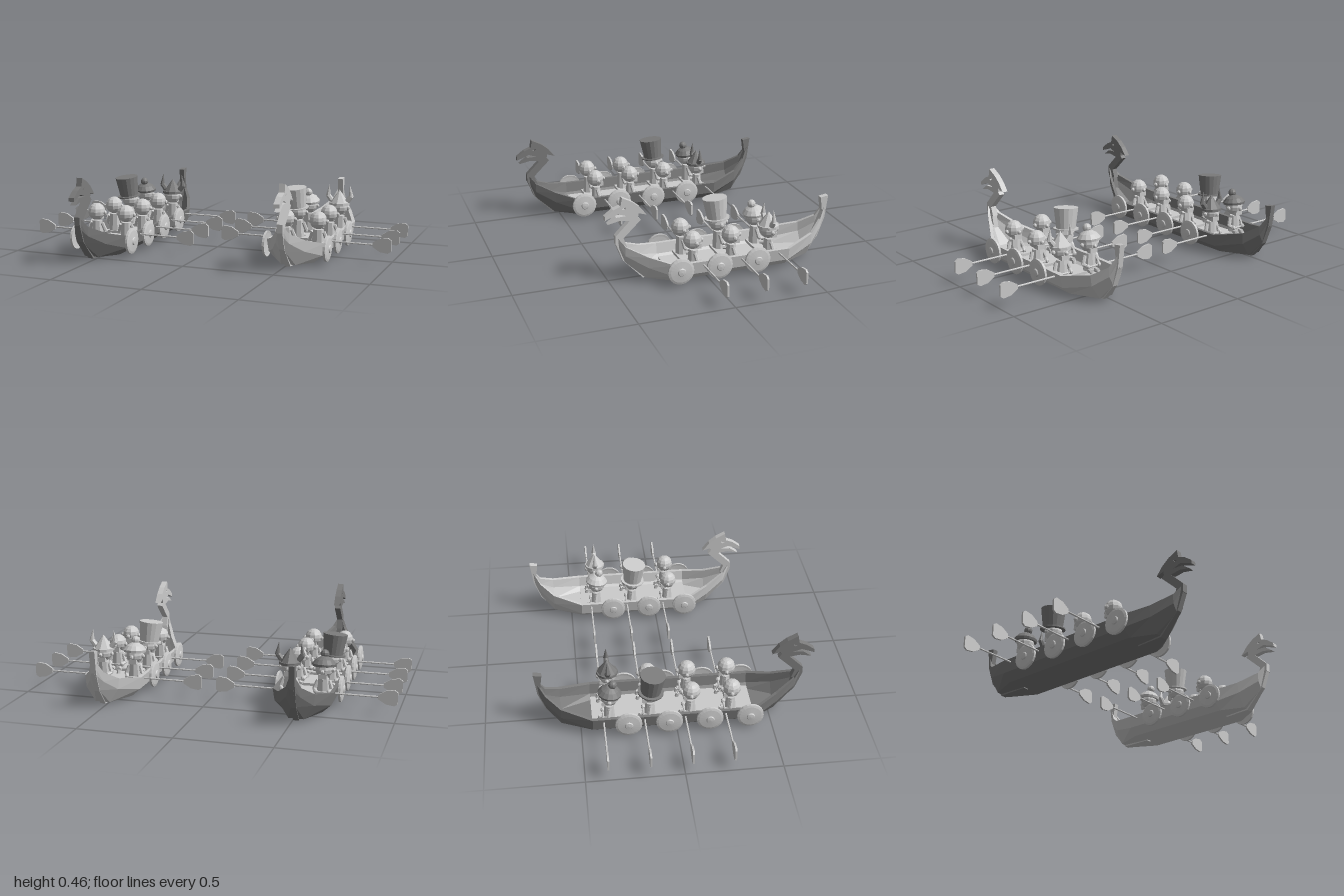
import * as THREE from 'three';

const paint = (color) => new THREE.MeshStandardMaterial({ color, flatShading: true, side: THREE.DoubleSide });
const grey = paint(0xcccccc);
const dark = paint(0x7c7c7c);

function add(parent, name, geo, mat = grey, x = 0, y = 0, z = 0) {
  const m = new THREE.Mesh(geo, mat);
  m.name = name;
  m.position.set(x, y, z);
  parent.add(m);
  return m;
}

// Rod between two points
function rod(parent, name, a, b, r0, r1 = r0, mat = grey) {
  const p = new THREE.Vector3(...a), q = new THREE.Vector3(...b), d = q.clone().sub(p);
  const m = add(parent, name, new THREE.CylinderGeometry(r1, r0, d.length(), 7), mat);
  m.position.copy(p).add(q).multiplyScalar(0.5);
  m.quaternion.setFromUnitVectors(new THREE.Vector3(0, 1, 0), d.normalize());
  return m;
}

// Plate cut from a side profile given as (z, y) points
function plate(points, width, hole) {
  const s = new THREE.Shape(points.map((p) => new THREE.Vector2(...p)));
  if (hole) s.holes.push(new THREE.Path(hole.map((p) => new THREE.Vector2(...p))));
  const g = new THREE.ExtrudeGeometry(s, { depth: width, bevelEnabled: false });
  return g.translate(0, 0, -width / 2).rotateY(-Math.PI / 2);
}

// Hull shell lofted from stations [z, half width, rail y, chine y, keel y, keel half width]
function hullGeometry(stations) {
  const pos = [], idx = [];
  for (const [z, w, rail, chine, keel, k] of stations) {
    const t = Math.min(0.02, w * 0.4), cw = w * 0.93;
    const floor = Math.min(keel + 0.03, rail - 0.01), f = Math.max(0.002, k - 0.005);
    const half = [[w, rail], [w - t, rail], [cw - t, chine + 0.012], [f, floor]];
    const under = [[w, rail], [cw, chine], [k, keel]];
    const loop = [...half, ...half.slice(1).reverse().map(([x, y]) => [-x, y]),
      ...under.map(([x, y]) => [-x, y]), ...under.slice(1).reverse()];
    for (const [x, y] of loop) pos.push(x, y, z);
  }
  const n = pos.length / 3 / stations.length;
  for (let j = 0; j < stations.length - 1; j++) for (let i = 0; i < n; i++) {
    const a = j * n + i, b = j * n + (i + 1) % n;
    idx.push(a, b, a + n, b, b + n, a + n);
  }
  const g = new THREE.BufferGeometry();
  g.setAttribute('position', new THREE.Float32BufferAttribute(pos, 3));
  g.setIndex(idx);
  const flat = g.toNonIndexed();
  flat.computeVertexNormals();
  return flat;
}

const STERN = [[-0.715, 0.012, 0.27, 0.235, 0.2, 0.006], [-0.675, 0.04, 0.2, 0.15, 0.1, 0.012],
  [-0.6, 0.095, 0.15, 0.09, 0.015, 0.04], [-0.44, 0.16, 0.115, 0.048, 0.008, 0.105]];
const BOW = [[0.41, 0.16, 0.115, 0.048, 0.008, 0.105], [0.53, 0.095, 0.15, 0.09, 0.015, 0.04],
  [0.635, 0.04, 0.2, 0.15, 0.11, 0.012], [0.672, 0.012, 0.25, 0.235, 0.2, 0.006]];
const STERN_POST = [[-0.42, 0.002], [-0.596, 0.004], [-0.675, 0.095], [-0.714, 0.2], [-0.73, 0.322],
  [-0.686, 0.315], [-0.698, 0.23], [-0.655, 0.12], [-0.585, 0.03], [-0.42, 0.018]];
const BOW_POST = [[0.39, 0], [0.537, 0.006], [0.643, 0.118], [0.68, 0.215], [0.68, 0.25],
  [0.64, 0.24], [0.615, 0.12], [0.525, 0.035], [0.39, 0.018]];
const DRAGON = [[0.68, 0.21], [0.68, 0.255], [0.605, 0.33], [0.66, 0.338], [0.72, 0.326], [0.675, 0.358],
  [0.62, 0.36], [0.665, 0.375], [0.735, 0.348], [0.733, 0.368], [0.69, 0.4], [0.652, 0.415], [0.643, 0.459],
  [0.59, 0.432], [0.55, 0.4], [0.513, 0.353], [0.556, 0.366], [0.56, 0.345], [0.545, 0.33], [0.638, 0.24], [0.62, 0.19]];
const EYE = [[0.645, 0.4], [0.62, 0.408], [0.628, 0.395]];

function makeRower(side) {
  const g = new THREE.Group();
  g.name = 'rower';
  const torso = add(g, 'torso', new THREE.CylinderGeometry(0.024, 0.03, 0.095, 8), grey, 0, 0.115, -0.005);
  torso.scale.x = 1.25;
  add(g, 'head', new THREE.SphereGeometry(0.048, 10, 8), grey, 0, 0.213, 0);
  add(g, 'nose', new THREE.SphereGeometry(0.012, 6, 5), grey, 0, 0.207, -0.05);
  add(g, 'jaw', new THREE.BoxGeometry(0.045, 0.025, 0.03), grey, 0, 0.18, -0.028);
  for (const s of [-1, 1]) {
    add(g, 'ear', new THREE.SphereGeometry(0.012, 6, 5), grey, s * 0.048, 0.208, -0.005);
    const elbow = [s * 0.047, 0.105, -0.012], hand = [s * 0.035, 0.097, -0.037];
    rod(g, 'upperArm', [s * 0.03, 0.15, -0.003], elbow, 0.011);
    rod(g, 'forearm', elbow, hand, 0.01);
    add(g, 'hand', new THREE.SphereGeometry(0.013, 6, 5), grey, ...hand);
    rod(g, 'thigh', [s * 0.016, 0.072, 0], [s * 0.02, 0.07, -0.05], 0.013);
    rod(g, 'shin', [s * 0.02, 0.07, -0.05], [s * 0.02, 0.03, -0.06], 0.011);
    add(g, 'foot', new THREE.BoxGeometry(0.02, 0.014, 0.035), grey, s * 0.02, 0.034, -0.07);
  }
  g.position.x = side * 0.09;
  return g;
}

function addTopHat(rower, mat) {
  const hat = new THREE.Group();
  hat.name = 'topHat';
  add(hat, 'brim', new THREE.CylinderGeometry(0.068, 0.068, 0.008, 16), mat);
  add(hat, 'crown', new THREE.CylinderGeometry(0.066, 0.052, 0.112, 16), mat, 0, 0.058, 0);
  hat.position.set(-0.008, 0.232, 0);
  hat.rotation.set(0.1, 0, 0.09);
  rower.add(hat);
}

function addRoundHat(rower, mat) {
  const hat = new THREE.Group();
  hat.name = 'roundHat';
  const profile = [[0, -0.005], [0.06, -0.005], [0.063, 0.008], [0.045, 0.03], [0.02, 0.045], [0, 0.048]];
  add(hat, 'dome', new THREE.LatheGeometry(profile.map((p) => new THREE.Vector2(...p)), 14), mat);
  add(hat, 'bobble', new THREE.SphereGeometry(0.023, 9, 7), mat, 0, 0.058, 0.01);
  hat.position.y = 0.232;
  hat.rotation.x = 0.12;
  rower.add(hat);
}

function addHornedHelmet(rower, mat) {
  const hat = new THREE.Group();
  hat.name = 'hornedHelmet';
  add(hat, 'helmetRim', new THREE.CylinderGeometry(0.058, 0.058, 0.014, 10), mat);
  add(hat, 'helmetCone', new THREE.ConeGeometry(0.055, 0.075, 8), mat, 0, 0.042, 0);
  for (const s of [-1, 1]) {
    rod(hat, 'hornBase', [s * 0.045, 0.015, 0], [s * 0.068, 0.045, 0], 0.016, 0.014, mat);
    rod(hat, 'hornTip', [s * 0.067, 0.04, 0], [s * 0.06, 0.105, 0], 0.015, 0.001, mat);
  }
  hat.position.y = 0.232;
  rower.add(hat);
}

function makeOar(side) {
  const g = new THREE.Group();
  g.name = 'oar';
  rod(g, 'oarShaft', [0.045, 0.095, 0], [0.39, 0.095, 0], 0.005);
  const outline = [[0.38, -0.012], [0.42, -0.036], [0.463, -0.042], [0.48, -0.03],
    [0.48, 0.03], [0.463, 0.042], [0.42, 0.036], [0.38, 0.012]];
  const blade = new THREE.ExtrudeGeometry(new THREE.Shape(outline.map((p) => new THREE.Vector2(...p))),
    { depth: 0.01, bevelEnabled: false });
  add(g, 'oarBlade', blade, grey, 0, 0.095, -0.005);
  if (side < 0) g.rotation.y = Math.PI;
  return g;
}

function makeShield(side) {
  const profile = [[0, 0.017], [0.018, 0.015], [0.022, 0.01], [0.058, 0.006], [0.07, 0.002], [0.07, -0.01], [0.058, -0.008], [0, -0.004]];
  const geo = new THREE.LatheGeometry(profile.reverse().map((p) => new THREE.Vector2(...p)), 20);
  const m = new THREE.Mesh(geo, grey);
  m.name = 'shield';
  m.rotation.z = -side * Math.PI / 2;
  m.position.set(side * 0.172, 0.083, 0);
  return m;
}

// Longboat; cut shortens it at the bow
function makeBoat(rows, cut, hullMat) {
  const boat = new THREE.Group();
  boat.name = 'longboat';
  const bow = BOW.map(([z, ...rest]) => [z - cut, ...rest]);
  add(boat, 'sternHull', hullGeometry(STERN), hullMat);
  add(boat, 'middleHull', hullGeometry([STERN[3], bow[0]]), hullMat);
  add(boat, 'bowHull', hullGeometry(bow), hullMat);
  add(boat, 'sternPost', plate(STERN_POST, 0.03), hullMat);
  add(boat, 'bowPost', plate(BOW_POST, 0.03), hullMat, 0, 0, -cut);
  add(boat, 'dragonHead', plate(DRAGON, 0.032, EYE), hullMat, 0, 0, -cut);
  const length = 0.85 - cut;
  add(boat, 'deck', new THREE.BoxGeometry(0.25, 0.01, length), grey, 0, 0.044, -0.44 + length / 2);
  // Benches, crew, oars and shields
  for (let r = 0; r < rows; r++) {
    const z = -0.345 + r * 0.212;
    add(boat, 'bench', new THREE.BoxGeometry(0.28, 0.014, 0.05), grey, 0, 0.061, z + 0.005);
    for (const side of [-1, 1]) {
      const rower = makeRower(side);
      rower.position.z = z;
      if (r === 0) (side < 0 ? addRoundHat : addHornedHelmet)(rower, hullMat);
      if (r === 1 && side < 0) addTopHat(rower, hullMat);
      const oar = makeOar(side), shield = makeShield(side);
      oar.position.z = z - 0.038;
      shield.position.z = z + 0.09;
      boat.add(rower, oar, shield);
    }
  }
  return boat;
}

export function createModel() {
  const model = new THREE.Group();
  model.name = 'longboats';
  const long = makeBoat(4, 0, dark), short = makeBoat(3, 0.215, grey);
  long.position.x = -0.52;
  short.position.x = 0.52;
  model.add(long, short);
  return model;
}
